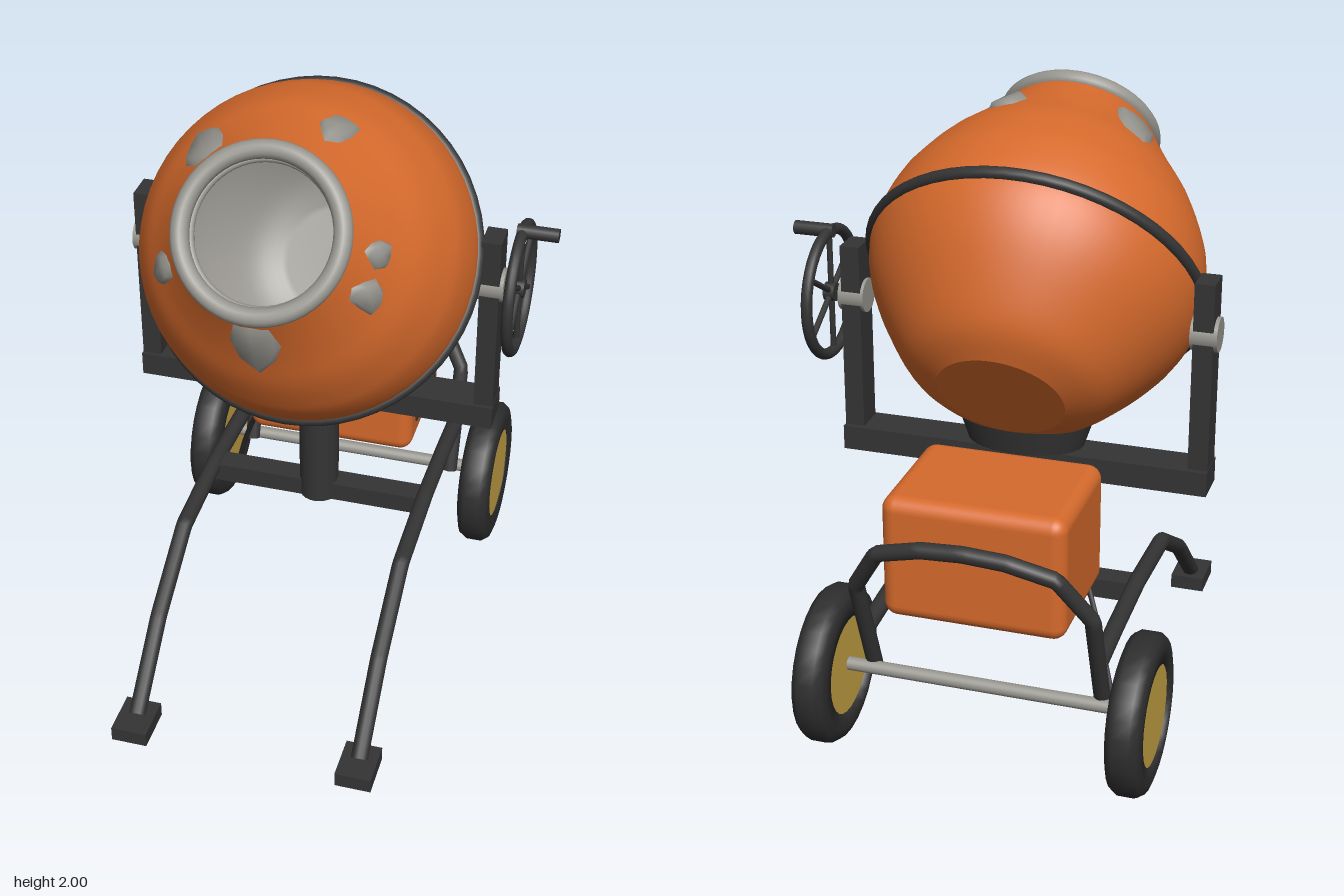
import * as THREE from 'three';
import { RoundedBoxGeometry } from 'three/addons/geometries/RoundedBoxGeometry.js';

const V2 = (x, y) => new THREE.Vector2(x, y);
const V3 = (x, y, z) => new THREE.Vector3(x, y, z);
function paint(name, color, side = THREE.FrontSide) {
  const m = new THREE.MeshStandardMaterial({ color, side });
  m.name = name;
  return m;
}

export function createModel() {
  const orange = paint('orange paint', 0xd66a2c);
  const dark = paint('dark steel', 0x343434);
  const rubber = paint('black rubber', 0x2e2e2e);
  const metal = paint('bare metal', 0x98968f);
  const concrete = paint('dried concrete', 0x94938d, THREE.DoubleSide);
  const yellow = paint('yellow hub', 0xc9a445);

  const model = new THREE.Group();
  model.name = 'concreteMixer';
  const body = new THREE.Group(); // everything is symmetric about this centre line
  body.name = 'machine';
  body.position.x = -0.08;
  model.add(body);

  function add(name, geo, mat, x = 0, y = 0, z = 0, parent = body) {
    const m = new THREE.Mesh(geo, mat);
    m.name = name;
    m.position.set(x, y, z);
    parent.add(m);
    return m;
  }
  const box = (w, h, d) => new THREE.BoxGeometry(w, h, d);
  const rod = (r, len, n = 20) => new THREE.CylinderGeometry(r, r, len, n).rotateZ(Math.PI / 2);
  // straight-segment bent pipe
  const pipe = (pts, r) => new THREE.TubeGeometry(
    new THREE.CatmullRomCurve3(pts, false, 'catmullrom', 0), 80, r, 12);

  // Drum, tilted forward; local y is its axis
  const drum = new THREE.Group();
  drum.name = 'drum';
  drum.position.set(0, 1.425, -0.035);
  drum.rotation.x = THREE.MathUtils.degToRad(55);
  body.add(drum);
  const wall = new THREE.SplineCurve([
    V2(0.2, -0.437), V2(0.3, -0.387), V2(0.39, -0.29), V2(0.475, -0.168), V2(0.522, -0.06),
    V2(0.533, 0.03), V2(0.512, 0.155), V2(0.478, 0.24), V2(0.428, 0.335), V2(0.36, 0.43),
    V2(0.3, 0.52), V2(0.245, 0.61)]).getPoints(44);
  add('drumShell', new THREE.LatheGeometry(wall, 56), orange, 0, 0, 0, drum);
  add('drumBase', new THREE.CircleGeometry(0.2, 56).rotateX(Math.PI / 2), orange, 0, -0.437, 0, drum);
  const lining = [...wall].reverse().map(p => V2(p.x - 0.025, p.y * 0.97 + 0.012));
  lining.push(V2(0.001, lining[lining.length - 1].y));
  add('drumLining', new THREE.LatheGeometry(lining, 56), metal, 0, 0, 0, drum);
  const ring = (r, t) => new THREE.TorusGeometry(r, t, 14, 56).rotateX(Math.PI / 2);
  add('mouthRim', ring(0.24, 0.029), metal, 0, 0.615, 0, drum);
  add('innerRim', ring(0.217, 0.012), metal, 0, 0.585, 0, drum);
  add('drumBand', ring(0.53, 0.021), dark, 0, 0, 0, drum);

  // Dried splashes: irregular domes wrapped over the drum wall
  function radiusAt(y) {
    const i = Math.max(1, wall.findIndex(p => p.y >= y));
    const a = wall[i - 1], b = wall[i];
    return a.x + (b.x - a.x) * (y - a.y) / (b.y - a.y);
  }
  function splash(phi, axial, halfW, halfH, seed) {
    const n = 8, pos = [], idx = [];
    const put = (u, v, lift) => {
      const y = Math.min(axial + v, 0.605), r = radiusAt(y) + lift;
      const a = phi + u / radiusAt(axial);
      pos.push(r * Math.sin(a), y + lift * 0.5, r * Math.cos(a));
    };
    put(0, 0, 0.016);
    for (const [k, lift] of [[0.72, 0.014], [1, -0.004]]) {
      for (let i = 0; i < n; i++) {
        const a = i / n * Math.PI * 2, s = k * (1 + 0.16 * Math.sin(i * 2.4 + seed));
        put(Math.cos(a) * halfW * s, Math.sin(a) * halfH * s, lift);
      }
    }
    for (let i = 0; i < n; i++) {
      const j = (i + 1) % n;
      idx.push(0, 1 + i, 1 + j, 1 + i, 1 + n + i, 1 + n + j, 1 + i, 1 + n + j, 1 + j);
    }
    const g = new THREE.BufferGeometry();
    g.setAttribute('position', new THREE.Float32BufferAttribute(pos, 3));
    g.setIndex(idx);
    g.computeVertexNormals();
    add('concreteSplash', g, concrete, 0, 0, 0, drum);
  }
  [[0, 0.49, 0.085, 0.1], [67, 0.476, 0.052, 0.06], [89, 0.49, 0.045, 0.045], [-67, 0.448, 0.052, 0.06],
    [-133, 0.45, 0.078, 0.09], [159, 0.428, 0.055, 0.065]]
    .forEach(([deg, y, w, h], i) => splash(THREE.MathUtils.degToRad(deg), y, w, h, i * 1.7));

  // Yoke and mast
  add('yokeBar', box(1.2, 0.08, 0.13), dark, 0, 0.87, -0.125);
  add('mast', new THREE.CylinderGeometry(0.067, 0.067, 0.51, 24), dark, 0, 0.66, -0.125);
  add('drumCradle', new THREE.CylinderGeometry(0.22, 0.19, 0.09, 32).scale(1, 1, 0.65), dark, 0, 0.965, -0.125);
  add('crossBeam', box(0.75, 0.065, 0.08), dark, 0, 0.437, -0.125);

  // Mirrored parts
  const tyre = [V2(0.16, -0.05), V2(0.21, -0.057), V2(0.24, -0.048), V2(0.255, -0.026),
    V2(0.255, 0.026), V2(0.24, 0.048), V2(0.21, 0.057), V2(0.16, 0.05), V2(0.16, -0.05)];
  for (const s of [-1, 1]) {
    add('yokePost', box(0.063, 0.69, 0.1), dark, s * 0.567, 1.175, -0.122);
    add('trunnion', rod(0.055, 0.085), metal, s * 0.568, 1.347, -0.122);
    add('leg', pipe([V3(s * 0.375, 0.05, 0.74), V3(s * 0.375, 0.27, 0.5), V3(s * 0.375, 0.437, 0.22),
      V3(s * 0.375, 0.46, -0.12), V3(s * 0.375, 0.447, -0.4), V3(s * 0.375, 0.43, -0.6)], 0.028), dark);
    add('foot', box(0.118, 0.05, 0.15), dark, s * 0.375, 0.027, 0.75);
    add('tyre', new THREE.LatheGeometry(tyre, 28).rotateZ(Math.PI / 2), rubber, s * 0.5, 0.26, -0.57);
    add('wheelHub', rod(0.162, 0.094, 28), yellow, s * 0.5, 0.26, -0.57);
  }
  add('axle', rod(0.022, 0.94), metal, 0, 0.265, -0.57);

  // Push handle
  const half = [[0.375, 0.26, -0.54], [0.375, 0.62, -0.675], [0.28, 0.775, -0.74], [0.13, 0.822, -0.765]];
  add('pushHandle', pipe([...half.map(([x, y, z]) => V3(-x, y, z)), V3(0, 0.832, -0.77),
    ...[...half].reverse().map(([x, y, z]) => V3(x, y, z))], 0.026), dark);

  // Motor housing, vents, switch and cable
  add('motorHousing', new RoundedBoxGeometry(0.58, 0.405, 0.445, 4, 0.045), orange, 0, 0.73, -0.467);
  for (let i = 0; i < 4; i++) add('ventSlot', box(0.009, 0.021, 0.28), dark, 0.291, 0.625 + i * 0.052, -0.465);
  add('switchBox', box(0.1, 0.12, 0.055), dark, -0.21, 0.81, -0.222);
  add('powerCable', new THREE.TubeGeometry(new THREE.CatmullRomCurve3([V3(-0.2, 0.76, -0.225),
    V3(-0.225, 0.71, -0.245), V3(-0.25, 0.6, -0.32), V3(-0.31, 0.48, -0.4), V3(-0.39, 0.28, -0.5),
    V3(-0.44, 0.12, -0.56)]), 40, 0.009, 8), rubber);

  // Tilting handwheel
  const wheel = new THREE.Group();
  wheel.name = 'handwheel';
  wheel.position.set(0.653, 1.345, -0.122);
  body.add(wheel);
  add('wheelRim', new THREE.TorusGeometry(0.202, 0.018, 12, 40).rotateY(Math.PI / 2), dark, 0, 0, 0, wheel);
  add('wheelBoss', rod(0.03, 0.036), dark, 0, 0, 0, wheel);
  for (let i = 0; i < 3; i++) {
    const spoke = add('spoke', new THREE.CylinderGeometry(0.01, 0.01, 0.4, 8), dark, 0, 0, 0, wheel);
    spoke.rotation.x = i * Math.PI / 3;
  }
  add('crankGrip', rod(0.022, 0.13, 16), dark, 0.048, 0.205, 0, wheel);
  return model;
}
